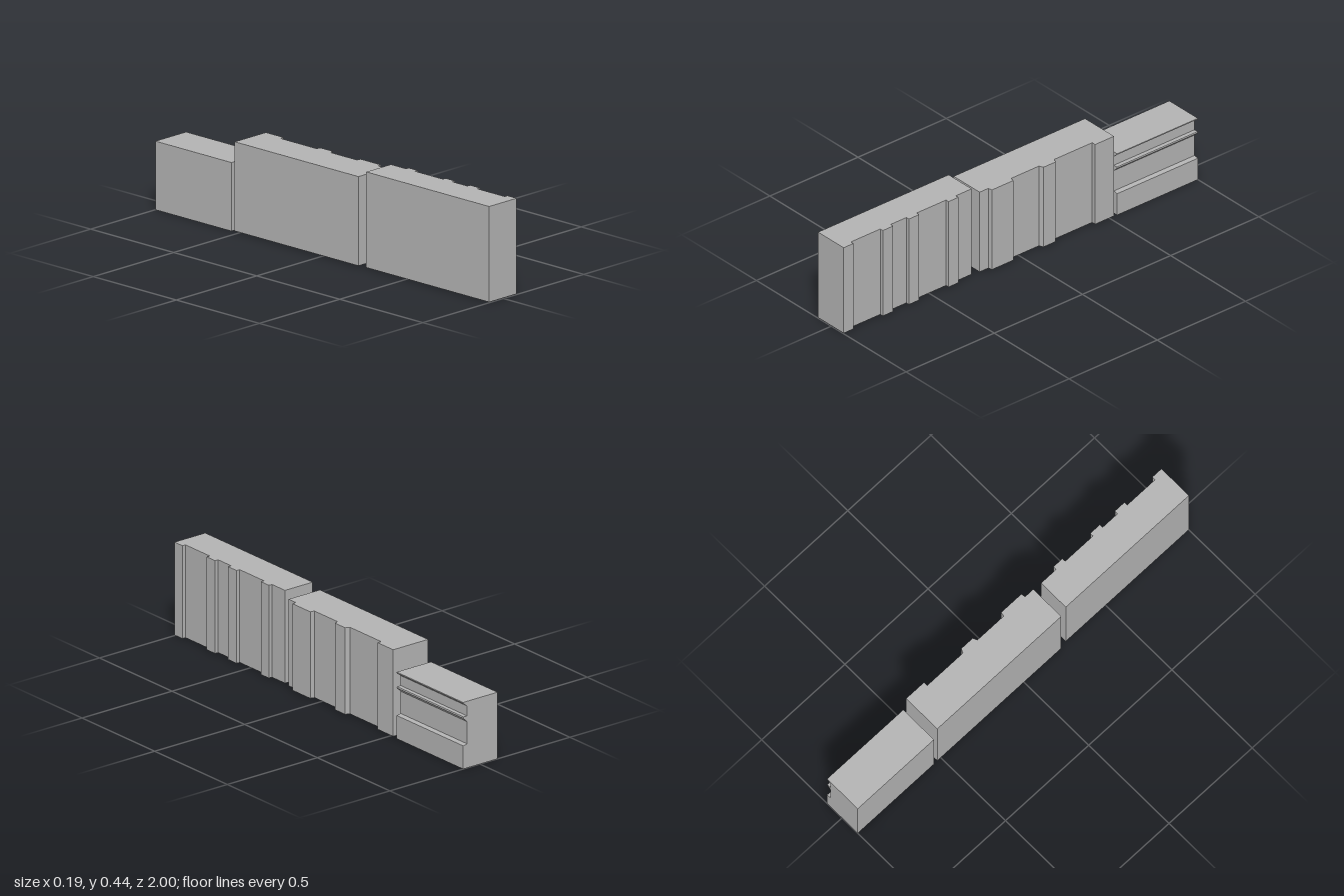
import * as THREE from 'three';

export function createModel() {
  const group = new THREE.Group();
  group.name = 'steppedWallBlocks';
  const grey = new THREE.MeshStandardMaterial({ color: 0xb2b2b2 });
  grey.name = 'grey';

  const add = (name, geometry) => {
    const mesh = new THREE.Mesh(geometry, grey);
    mesh.name = name;
    group.add(mesh);
  };
  const shapeOf = (points) => new THREE.Shape(points.map(([x, y]) => new THREE.Vector2(x, y)));

  // Upright block with vertical ribs on its +x side.
  // Each rib is [z start, z end, chamfer]; the plan is drawn in (x, -z).
  function ribbedBlock(name, { back, face, rib, z0, z1, y0, y1, ribs }) {
    const plan = [[back, z0], [back, z1]];
    for (const [a, b, c] of [...ribs].reverse()) {
      plan.push([face, b], [rib, b - c], [rib, a + c], [face, a]);
    }
    const full = [plan[0], plan[1], [face, z1], ...plan.slice(2), [face, z0]];
    // Drop repeated corners where a rib meets the end of the block
    const clean = full.filter((p, i) => {
      const q = full[(i + 1) % full.length];
      return Math.hypot(p[0] - q[0], p[1] - q[1]) > 1e-6;
    }).filter(([x, z]) => !(x === face && ribs.some(([a, b]) => (z === a && a === z0) || (z === b && b === z1))));
    const geometry = new THREE.ExtrudeGeometry(shapeOf(clean.map(([x, z]) => [x, -z])), {
      depth: y1 - y0, bevelEnabled: false,
    });
    geometry.rotateX(-Math.PI / 2).translate(0, y0, 0);
    add(name, geometry);
  }

  // Tallest block, four narrow ribs
  ribbedBlock('frontBlock', {
    back: -0.088, face: 0.066, rib: 0.083, z0: 0.26, z1: 1, y0: 0.003, y1: 0.435,
    ribs: [[0.35, 0.405, 0], [0.572, 0.63, 0], [0.72, 0.778, 0], [0.945, 1, 0]],
  });

  // Middle block, wider ribs with softened corners
  ribbedBlock('middleBlock', {
    back: -0.098, face: 0.076, rib: 0.096, z0: -0.522, z1: 0.223, y0: 0.005, y1: 0.408,
    ribs: [[-0.522, -0.415, 0], [-0.2, -0.113, 0.009], [0.045, 0.174, 0.004]],
  });

  // Low block with horizontal ledges, undercut below each lip
  const section = shapeOf([
    [-0.098, 0], [0.093, 0], [0.093, 0.108], [0.071, 0.112], [0.071, 0.215],
    [0.093, 0.236], [0.091, 0.242], [0.071, 0.242], [0.071, 0.288], [0.093, 0.305], [0.093, 0.31], [-0.098, 0.31],
  ]);
  const low = new THREE.ExtrudeGeometry(section, { depth: 0.458, bevelEnabled: false });
  low.translate(0, 0, -1);
  add('backBlock', low);

  return group;
}
